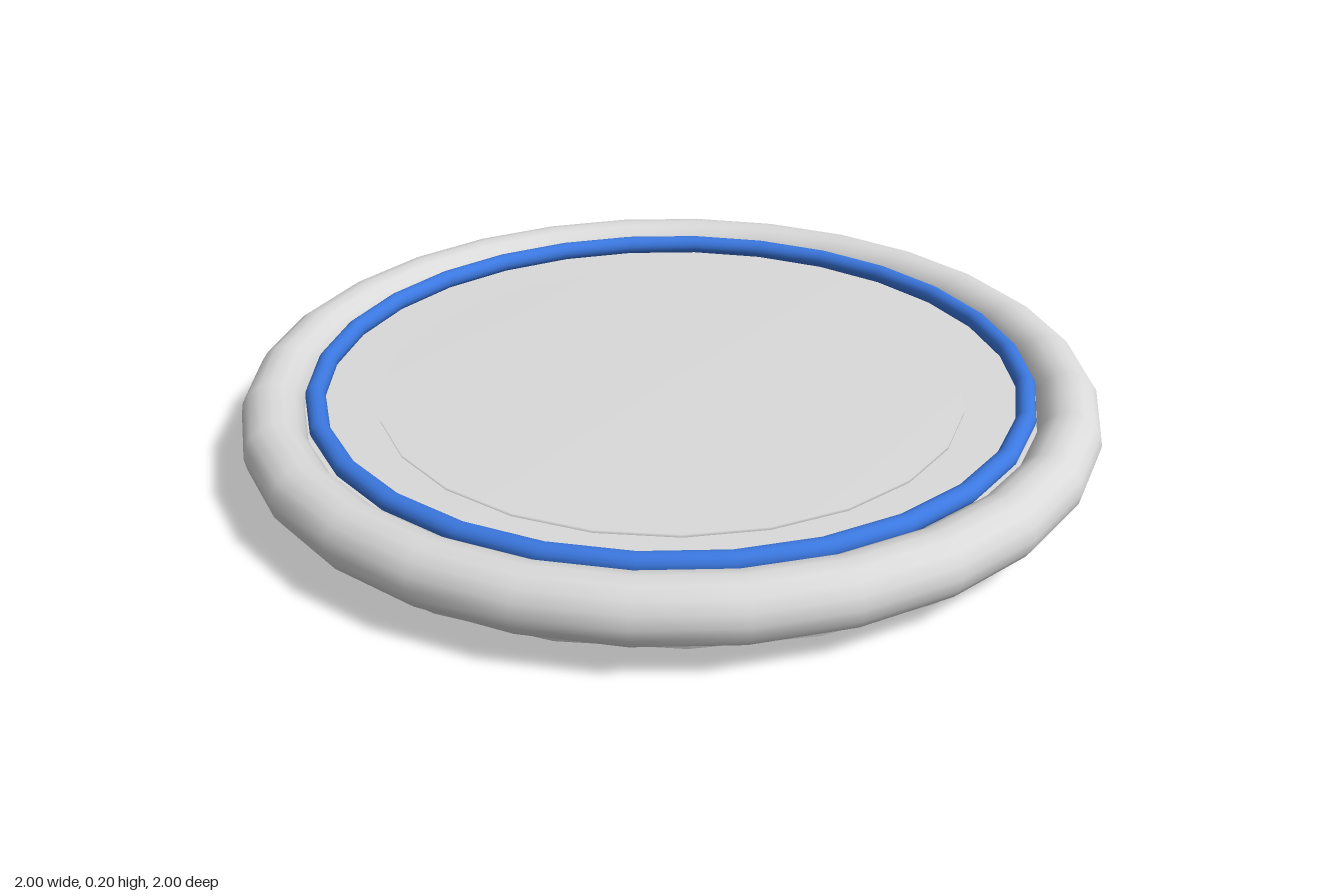
import * as THREE from 'three';

export function createModel() {
  const model = new THREE.Group();
  const ceramic = new THREE.MeshStandardMaterial({ color: 0xdadada });
  ceramic.name = 'paleGrey';
  const blue = new THREE.MeshStandardMaterial({ color: 0x3b78e0 });
  blue.name = 'blue';

  const add = (name, geometry, material) => {
    const mesh = new THREE.Mesh(geometry, material);
    mesh.name = name;
    model.add(mesh);
    return mesh;
  };

  // Solid turned disc, profile runs from the bottom axis to the top axis
  const disc = (name, profile) =>
    add(name, new THREE.LatheGeometry(profile.map(([r, y]) => new THREE.Vector2(r, y)), 24), ceramic);

  // Horizontal ring
  const ring = (name, radius, tube, y, material) => {
    const geometry = new THREE.TorusGeometry(radius, tube, 16, 28);
    geometry.rotateX(-Math.PI / 2);
    add(name, geometry, material).position.y = y;
  };

  disc('foot', [[0, 0], [0.65, 0], [0.66, 0.01], [0.66, 0.08], [0, 0.08]]);
  disc('plateBody', [[0, 0.06], [0.945, 0.06], [0.965, 0.07], [0.965, 0.12], [0.945, 0.14], [0, 0.14]]);
  disc('centreWell', [[0, 0.13], [0.69, 0.13], [0.69, 0.147], [0, 0.147]]);
  ring('rim', 0.928, 0.072, 0.133, ceramic);
  ring('blueBand', 0.83, 0.023, 0.17, blue);

  return model;
}
